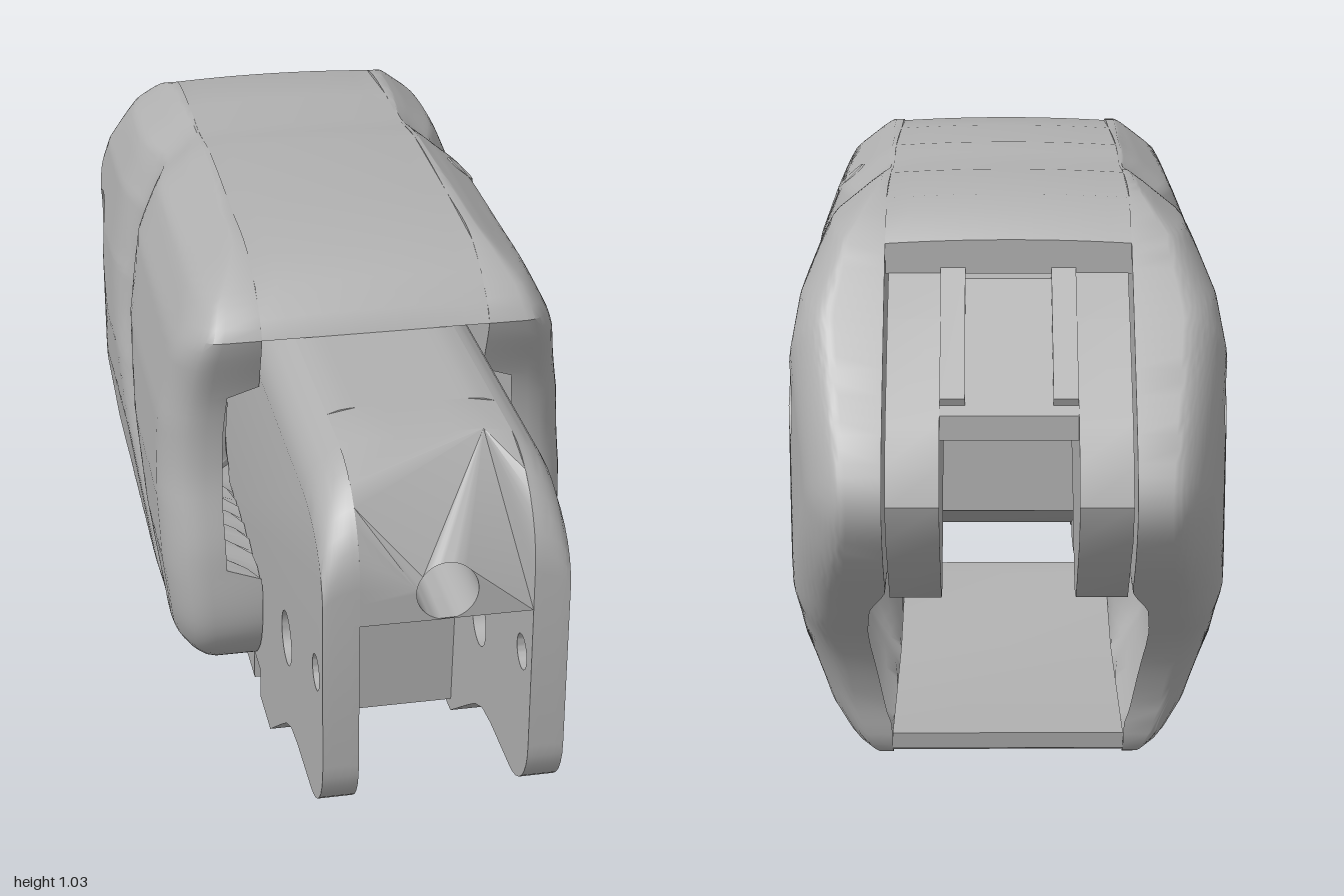
import * as THREE from 'three';
import { toCreasedNormals } from 'three/addons/utils/BufferGeometryUtils.js';

const grey = new THREE.MeshStandardMaterial({ color: 0xb0b0b0 });
grey.name = 'plain grey';
const { smoothstep, lerp, clamp } = THREE.MathUtils;

const PIVOT = [-0.69, 0.68]; // z, y of the hinge hole

// side outline of the shell as [z, y], front top towards the back
const OUTLINE = [[.44, .9], [.42, .93], [.3, 1], [.1, 1.012], [-.18, 1.02], [-.32, 1.005], [-.45, 1.012],
  [-.64, 1], [-.72, .95], [-.88, .77], [-.97, .65], [-1, .57], [-.96, .48], [-.82, .34], [-.72, .24],
  [-.665, .13], [-.64, .03], [-.59, .008], [-.2, .005], [0, .06], [.2, .145], [.34, .22], [.4, .3],
  [.405, .45], [.375, .62], [.385, .75], [.43, .87]];
// half width of the shell by height, [y, x]
const WIDTH = [[0, .2], [.008, .23], [.05, .275], [.11, .31], [.25, .35], [.42, .37], [.55, .375], [.7, .367],
  [.85, .342], [.95, .3], [.995, .25], [1.03, .2]];
// centre line of the curved valley on the flanks, [z, y]
const VALLEY = [[.22, .19], [.1, .28], [0, .36], [-.1, .445], [-.2, .55], [-.27, .65], [-.31, .75], [-.33, .87], [-.33, 1.03]];

function halfWidth(y) {
  let i = 1;
  while (i < WIDTH.length - 1 && WIDTH[i][0] < y) i++;
  const [a, b] = [WIDTH[i - 1], WIDTH[i]];
  return lerp(a[1], b[1], clamp((y - a[0]) / (b[0] - a[0]), 0, 1));
}

function segmentDistance(z, y, a, b) {
  const dz = b[0] - a[0], dy = b[1] - a[1];
  const t = clamp(((z - a[0]) * dz + (y - a[1]) * dy) / (dz * dz + dy * dy), 0, 1);
  return Math.hypot(z - a[0] - t * dz, y - a[1] - t * dy);
}

function pathDistance(z, y, path, closed) {
  let best = 9;
  for (let i = closed ? 0 : 1; i < path.length; i++)
    best = Math.min(best, segmentDistance(z, y, path[(i + path.length - 1) % path.length], path[i]));
  return best;
}

// domed side wall: loops running from the hinge hole to the outline and back
function cheekGeometry(side) {
  const curve = new THREE.CatmullRomCurve3(OUTLINE.map(([z, y]) => new THREE.Vector3(z, y, 0)), true);
  const edge = curve.getSpacedPoints(180).slice(0, 180).map(p => [p.x, p.y]);
  const outerX = (z, y) => {
    const d = Math.min(pathDistance(z, y, edge, true) / 0.1, 1);
    const round = 0.55 + 0.45 * Math.sqrt(1 - (1 - d) ** 2);
    const taper = 0.375 - 0.3 * Math.max(0, -0.5 - z) ** 2;
    const spread = lerp(0.035, 0.085, smoothstep(y, 0.2, 0.8));
    const dip = 0.028 * Math.exp(-((pathDistance(z, y, VALLEY, false) / spread) ** 2));
    return Math.max(0.201, 0.2 + (Math.min(halfWidth(y), taper) - 0.2) * round - dip * round);
  };
  const innerX = (z, y) => {
    const out = outerX(z, y);
    const pocket = 0.1 * smoothstep(y, 0.41, 0.44) * (1 - smoothstep(y, 0.76, 0.79)) * smoothstep(z, 0, 0.05);
    const hollow = Math.max(0, out - 0.25) * (1 - smoothstep(y, 0.34, 0.4)) * (1 - smoothstep(z, -0.15, -0.05));
    return Math.max(0.2, Math.min(0.2 + pocket + hollow, out - 0.03));
  };
  const rows = [], n = 34;
  const addRow = (radius, xOf) => rows.push(edge.map(([ez, ey]) => {
    const dz = ez - PIVOT[0], dy = ey - PIVOT[1], len = Math.hypot(dz, dy), r = radius(len) / len;
    const z = PIVOT[0] + dz * r, y = PIVOT[1] + dy * r;
    return [side * xOf(z, y), y, z];
  }));
  for (let i = 0; i <= n; i++) addRow(l => lerp(0.05, l, i / n), innerX);
  for (let i = n; i >= 0; i--) addRow(l => lerp(0.07, l, 1 - (1 - i / n) ** 1.5), outerX);
  addRow(() => 0.07, () => 0.32); // counterbore
  addRow(() => 0.05, () => 0.32);
  const m = edge.length, index = [];
  for (let i = 0; i < rows.length; i++) for (let j = 0; j < m; j++) {
    const i2 = (i + 1) % rows.length, j2 = (j + 1) % m;
    const a = i * m + j, b = i * m + j2, c = i2 * m + j, d = i2 * m + j2;
    if (side > 0) index.push(a, c, b, b, c, d);
    else index.push(a, b, c, b, d, c);
  }
  const g = new THREE.BufferGeometry();
  g.setAttribute('position', new THREE.Float32BufferAttribute(rows.flat(2), 3));
  g.setIndex(index);
  return toCreasedNormals(g, 0.6);
}

// side profile of [z, y] points carried across from x0 to x1, with round holes [z, y, r]
function slab(profile, x0, x1, holes = [], steps = 1, rule) {
  const s = new THREE.Shape(profile.map(p => new THREE.Vector2(p[0], p[1])));
  for (const [z, y, r] of holes) s.holes.push(new THREE.Path().absarc(z, y, r, 0, Math.PI * 2, true));
  const g = new THREE.ExtrudeGeometry(s, { depth: x1 - x0, steps, bevelEnabled: false, curveSegments: 20 });
  g.rotateY(-Math.PI / 2).translate(x1, 0, 0);
  return finish(g, rule);
}

function finish(g, rule) {
  const p = g.attributes.position;
  if (rule) for (let i = 0; i < p.count; i++) p.setXYZ(i, ...rule(p.getX(i), p.getY(i), p.getZ(i)));
  return toCreasedNormals(g, 0.6);
}

// points of an arc in the side plane
function arc(z, y, r, from, to, n = 8) {
  return Array.from({ length: n + 1 }, (_, i) => {
    const a = lerp(from, to, i / n) * Math.PI / 180;
    return [z + r * Math.cos(a), y + r * Math.sin(a)];
  });
}

// rounds off the long top edges of the front link
const roundTop = (x, y, z) => {
  const over = Math.min(0.1, Math.max(0, Math.abs(x) - 0.1));
  return [x, y - (0.1 - Math.sqrt(0.01 - over * over)) * clamp((y - 0.6) / 0.3, 0, 1), z];
};
// slight crown across the shell roof
const crown = (x, y, z) => [x, y > 0.92 ? y + 0.006 * (1 - (x / 0.2) ** 2) : y, z];

export function createModel() {
  const model = new THREE.Group();
  const add = (name, geometry) => {
    const mesh = new THREE.Mesh(geometry, grey);
    mesh.name = name;
    model.add(mesh);
    return mesh;
  };

  // shell roof and floor between the side walls
  add('shellRoof', slab([[.44, .9], [.42, .93], [.37, .97], [.3, 1], [.1, 1.012], [-.18, 1.02], [-.25, 1.012], [-.32, 1.005],
    [-.45, 1.012], [-.64, 1], [-.69, .98], [-.73, .94], [-.73, .89], [.3, .905]], -.2, .2, [], 10, crown));
  add('shellFloor', slab([[.12, .125], [.1, .1], [0, .06], [-.1, .03], [-.2, .005], [-.59, .008], [-.64, .03], [-.645, .06],
    [-.2, .06], [.05, .125]], -.2, .2));

  // front link side plate outline
  const plate = [...arc(.89, .4, .11, -90, 0), ...arc(.83, .73, .17, 0, 90), [-.1, .9], [-.1, .3], [.1, .2], [.18, .13],
    [.29, .13], [.29, .19], [.36, .19], [.36, .13], [.47, .13], [.6, .225], [.65, .26], [.7, .283], [.76, .29]];
  // rear fork prong outline
  const prong = [[-.45, .6], [-.45, .88], [-.72, .9], [-.8, .83], [-.93, .69], [-.97, .63], [-.99, .57], [-.97, .51], [-.92, .46],
    [-.83, .37], [-.78, .36], [-.73, .39], [-.6, .55]];

  for (const side of [1, -1]) {
    const name = side > 0 ? 'left' : 'right';
    const span = (a, b) => side > 0 ? [a, b] : [-b, -a];
    add(name + 'ShellWall', cheekGeometry(side));
    add(name + 'LinkPlate', slab(plate, ...span(.14, .199), [[.66, .44, .048], [.94, .545, .03]], 8, roundTop));
    add(name + 'RearProng', slab(prong, ...span(.11, .195), [[...PIVOT, .05]]));
  }

  // front link core and lower ramp
  add('linkCore', slab([[.72, .9], [-.1, .9], [-.1, .57], [.6, .57], [.66, .585], [.7, .62], [.72, .66]], -.14, .14, [], 14, roundTop));
  add('linkRamp', slab([[.5, .545], [-.1, .545], [-.1, .3], [.3, .155], [.47, .155]], -.14, .14));

  // link nose with a round bore along z
  const rim = [[-.14, .66], [.14, .66]];
  for (let i = 0; i <= 8; i++) rim.push([.14, lerp(.7, .9, i / 8)]);
  for (let i = 1; i < 6; i++) rim.push([lerp(.14, -.14, i / 6), .9]);
  for (let i = 8; i >= 0; i--) rim.push([-.14, lerp(.7, .9, i / 8)]);
  const nose = new THREE.Shape(rim.map(p => new THREE.Vector2(...p)));
  nose.holes.push(new THREE.Path().absarc(0, .708, .05, 0, Math.PI * 2, true));
  const noseGeometry = new THREE.ExtrudeGeometry(nose, { depth: .28, bevelEnabled: false, curveSegments: 20 }).translate(0, 0, .72);
  add('linkNose', finish(noseGeometry, (x, y, z) => {
    const up = clamp(y - .73, 0, .17);
    const front = z > .9 ? z - .17 + Math.sqrt(Math.max(0, .0289 - up * up)) : z;
    return roundTop(x, y, front);
  }));

  // sloping web and ribs joining the rear prongs
  add('rearWeb', slab([[-.45, .9], [-.72, .88], [-.92, .7], [-.92, .66], [-.78, .75], [-.6, .78], [-.45, .78]], -.11, .11));
  for (const x of [-.11, .07])
    add('webRib', slab([[-.6, .9], [-.73, .9], [-.91, .725], [-.9, .7], [-.6, .85]], x, x + .04));

  // screw sockets on the left flank
  const dish = [[0, -.004], [.016, -.004], [.018, .003], [.03, .006], [.036, .001], [.036, -.02]].map(p => new THREE.Vector2(...p)).reverse();
  for (const [x, y, z, tilt] of [[.283, .955, -.15, -.75], [.275, .065, -.21, -2.3]]) {
    const socket = add('screwSocket', toCreasedNormals(new THREE.LatheGeometry(dish, 20), 0.5));
    socket.position.set(x, y, z);
    socket.rotation.z = tilt;
  }
  return model;
}
